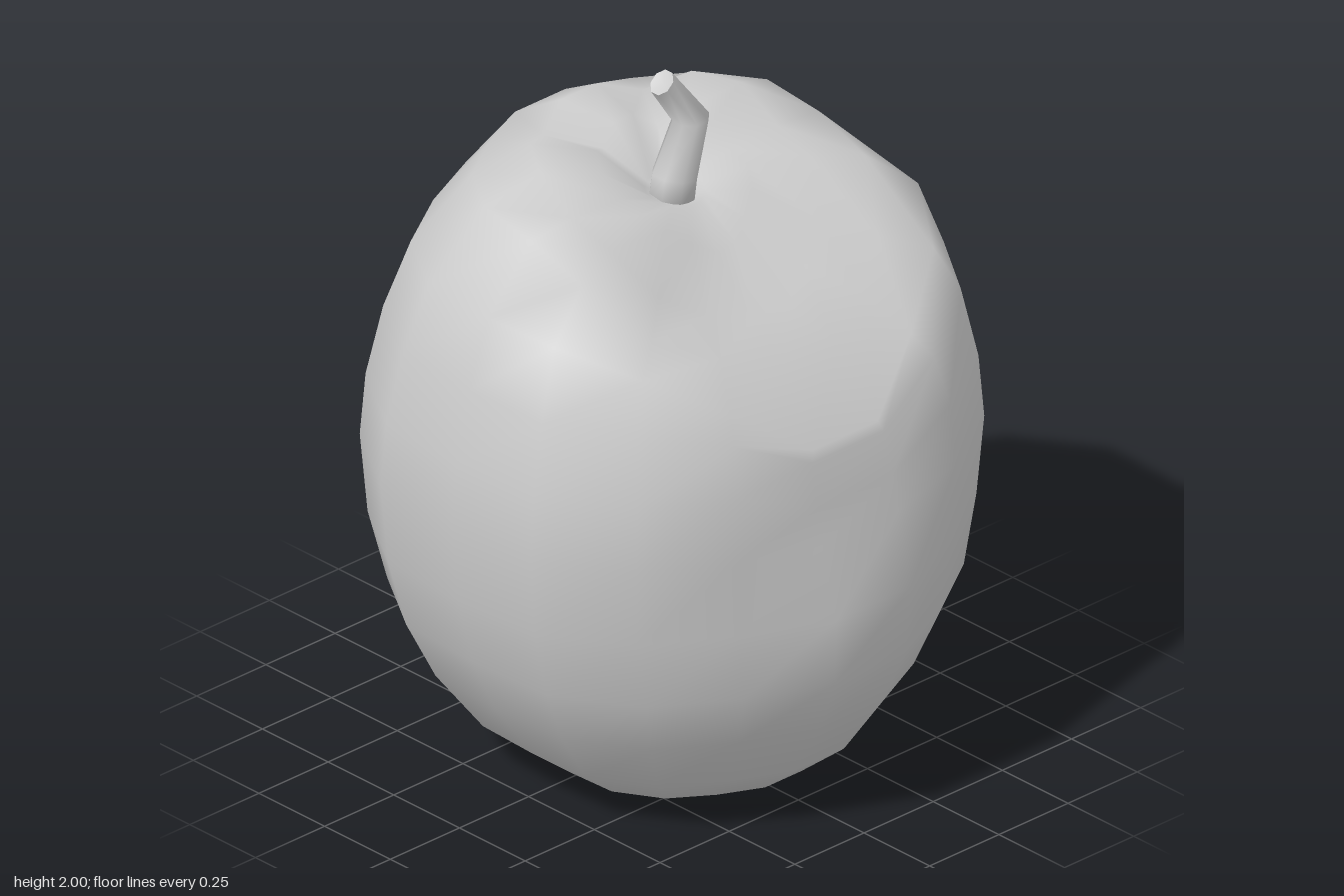
import * as THREE from 'three';

// Piecewise-linear lookup through [input, output] pairs
function lerpTable(table, v) {
  if (v <= table[0][0]) return table[0][1];
  for (let i = 1; i < table.length; i++) {
    const [a, p] = table[i - 1], [b, q] = table[i];
    if (v <= b) return p + (q - p) * (v - a) / (b - a);
  }
  return table[table.length - 1][1];
}

// Minimum of two values, rounded where they meet
function softMin(a, b, k) {
  const h = Math.max(k - Math.abs(a - b), 0) / k;
  return Math.min(a, b) - h * h * k / 4;
}

// Smooth skin over closed rings running upward, closed by a centre point at each end
function skin(rings, bottom, top) {
  const n = rings[0].length;
  const pos = [...rings.flat(), bottom, top].flat();
  const index = [];
  const b = rings.length * n, t = b + 1, last = (rings.length - 1) * n;
  for (let j = 0; j < n; j++) {
    const k = (j + 1) % n;
    index.push(b, k, j, t, last + j, last + k);
    for (let i = 0; i < rings.length - 1; i++) {
      const p = i * n;
      index.push(p + j, p + k, p + n + k, p + j, p + n + k, p + n + j);
    }
  }
  const geo = new THREE.BufferGeometry();
  geo.setAttribute('position', new THREE.Float32BufferAttribute(pos, 3));
  geo.setIndex(index);
  geo.computeVertexNormals();
  return geo;
}

// Body: radius and height from the bottom dimple to the top dimple
const PROFILE = [
  [0.1, 0.08], [0.25, 0], [0.38, 0.04], [0.52, 0.15], [0.65, 0.33], [0.73, 0.5],
  [0.78, 0.7], [0.8, 0.93], [0.785, 1.11], [0.74, 1.31], [0.67, 1.5], [0.52, 1.7],
  [0.37, 1.785], [0.2, 1.77], [0.08, 1.65],
];
// Height limit by depth: the sloping, flattened upper front
const SLOPE = [
  [-0.2, 1.95], [-0.1, 1.8], [0, 1.71], [0.17, 1.69], [0.48, 1.44], [0.66, 1.22],
  [0.7, 1.1], [0.72, 0.97], [0.79, 0.74],
];
// Depth limit by height: the flat middle of the front
const FRONT = [[0.7, 0.8], [0.93, 0.735], [1.11, 0.715], [1.31, 0.69]];
// Forward shift by height: the lower front bulges, the upper body leans slightly
const BULGE = [[0.05, 0.07], [0.5, 0.055], [0.7, 0.02], [0.93, 0]];
const LEAN = [[1.3, 0], [1.6, 0.03]];
// Slight squareness, from the middle of the front or back to the sides
const SQUARE = [[10, 1], [30, 0.975], [50, 1.025], [70, 1.045], [90, 1]];

function bodyPoint(r, y, deg) {
  const a = THREE.MathUtils.degToRad(deg);
  const side = Math.abs(Math.sin(a));
  const s = r * lerpTable(SQUARE, THREE.MathUtils.radToDeg(Math.asin(side)));
  const x = s * Math.sin(a);
  const bulge = lerpTable(BULGE, y) * (1 + Math.cos(a)) / 2;
  let z = s * Math.cos(a) + Math.max(bulge, lerpTable(LEAN, y), 0.025 * side);
  // six lobes around the bottom and the top
  const notch = 0.5 - Math.cos(6 * a);
  if (y < 0.03) y += 0.028 * notch;
  if (y > 1.75) y -= 0.028 * notch;
  // flattened front with a broad hollow before the stem
  if (y > 0.75) {
    if (z > 0) z = Math.min(z, lerpTable(FRONT, y));
    const hollow = 0.12 * Math.exp(-(((x + 0.03) / 0.5) ** 2) - (((z - 0.3) / 0.2) ** 2));
    y = softMin(y, lerpTable(SLOPE, z) - hollow, 0.1);
  }
  return [x, y, z];
}

function makeBody() {
  const sides = 18;
  const rings = PROFILE.map(([r, y]) =>
    Array.from({ length: sides }, (_, j) => bodyPoint(r, y, 10 + j * 360 / sides)));
  return skin(rings, [0, 0.11, 0.04], [0, 1.61, 0.03]);
}

// Stem: bent, tapering; each section is x, y, half width, half depth, tilt
function makeStem() {
  const sections = [
    [-0.012, 1.61, 0.068, 0.064, 0.1],
    [0.0, 1.68, 0.066, 0.062, -0.2],
    [0.058, 1.83, 0.052, 0.05, 0.05],
    [-0.047, 1.972, 0.038, 0.035, 0.75],
  ];
  const sides = 8;
  const rings = sections.map(([cx, cy, w, d, tilt]) =>
    Array.from({ length: sides }, (_, j) => {
      const a = (j + 0.5) * 2 * Math.PI / sides, u = w * Math.sin(a);
      return [cx + u * Math.cos(tilt), cy + u * Math.sin(tilt), 0.03 + d * Math.cos(a)];
    }));
  // doubled rim keeps the cut tip sharp, its end slightly sunken
  rings.push(rings[rings.length - 1].map((p) => [...p]));
  return skin(rings, [-0.012, 1.6, 0.03], [-0.042, 1.965, 0.03]);
}

export function createModel() {
  const material = new THREE.MeshStandardMaterial({ color: 0xcccccc });
  const group = new THREE.Group();
  const parts = { fruitBody: makeBody(), stem: makeStem() };
  for (const [name, geometry] of Object.entries(parts)) {
    const mesh = new THREE.Mesh(geometry, material);
    mesh.name = name;
    group.add(mesh);
  }
  return group;
}
